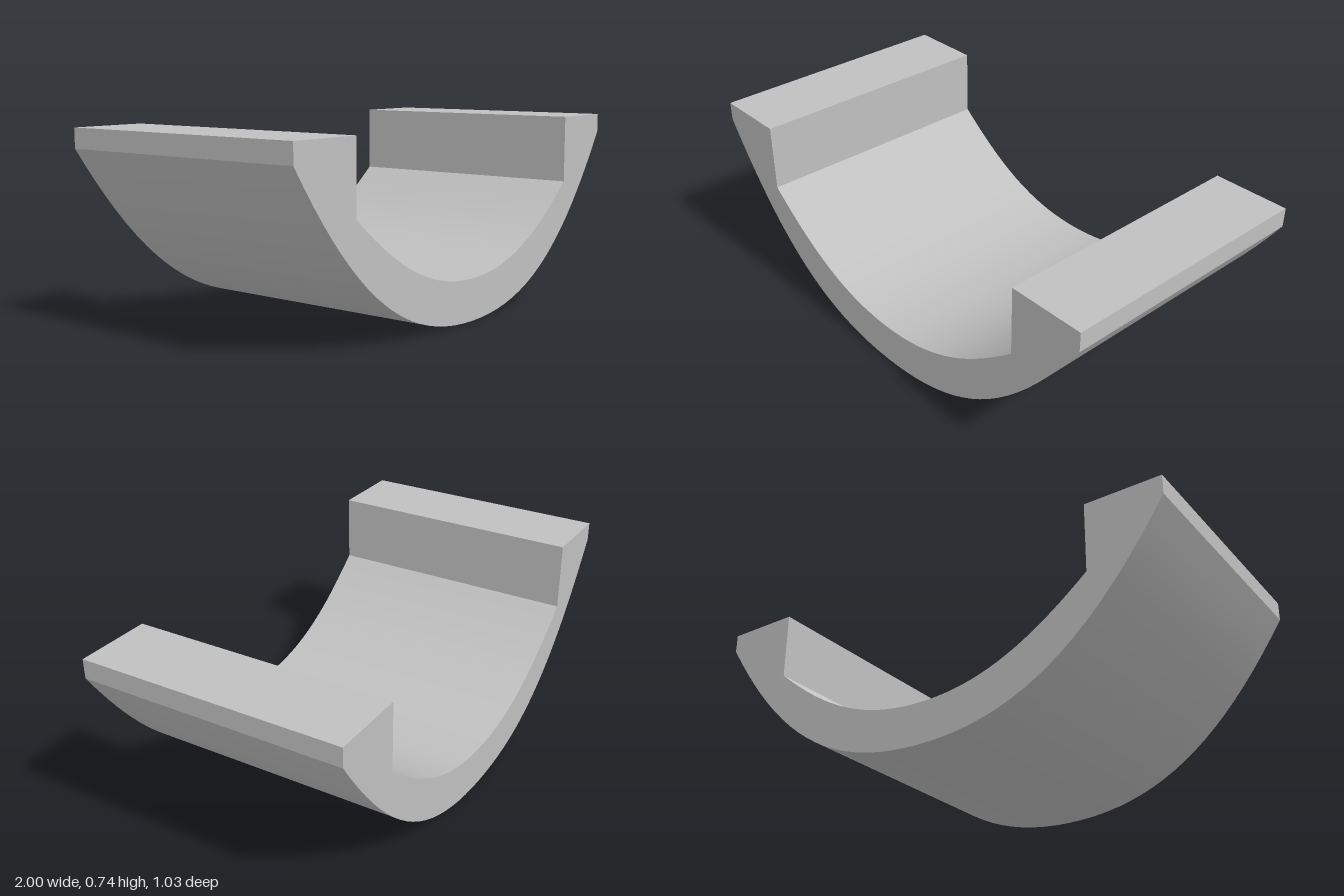
import * as THREE from 'three';
import { toCreasedNormals } from 'three/addons/utils/BufferGeometryUtils.js';

const DEPTH = 1.03;

// Curved cradle section: bowed underside, shallower inner bowl, square side ledges
function cradleProfile() {
  const s = new THREE.Shape();
  s.moveTo(0, 0);
  s.bezierCurveTo(0.42, 0, 0.7, 0.2, 1, 0.66);
  s.lineTo(1, 0.735);
  s.lineTo(0.7, 0.735);
  s.lineTo(0.7, 0.465);
  s.bezierCurveTo(0.48, 0.28, 0.28, 0.163, 0, 0.163);
  s.bezierCurveTo(-0.28, 0.163, -0.48, 0.28, -0.7, 0.465);
  s.lineTo(-0.7, 0.735);
  s.lineTo(-1, 0.735);
  s.lineTo(-1, 0.66);
  s.bezierCurveTo(-0.7, 0.2, -0.42, 0, 0, 0);
  return s;
}

export function createModel() {
  const model = new THREE.Group();
  model.name = 'cradle';

  const grey = new THREE.MeshStandardMaterial({ color: 0xc0c0c0 });
  grey.name = 'light grey';

  // Straight extrusion, smooth along the curves and sharp at the corners
  const extruded = new THREE.ExtrudeGeometry(cradleProfile(), {
    depth: DEPTH, bevelEnabled: false, curveSegments: 20,
  });
  extruded.translate(0, 0, -DEPTH / 2);
  const body = new THREE.Mesh(toCreasedNormals(extruded, 0.3), grey);
  body.name = 'cradleBody';
  model.add(body);

  return model;
}
